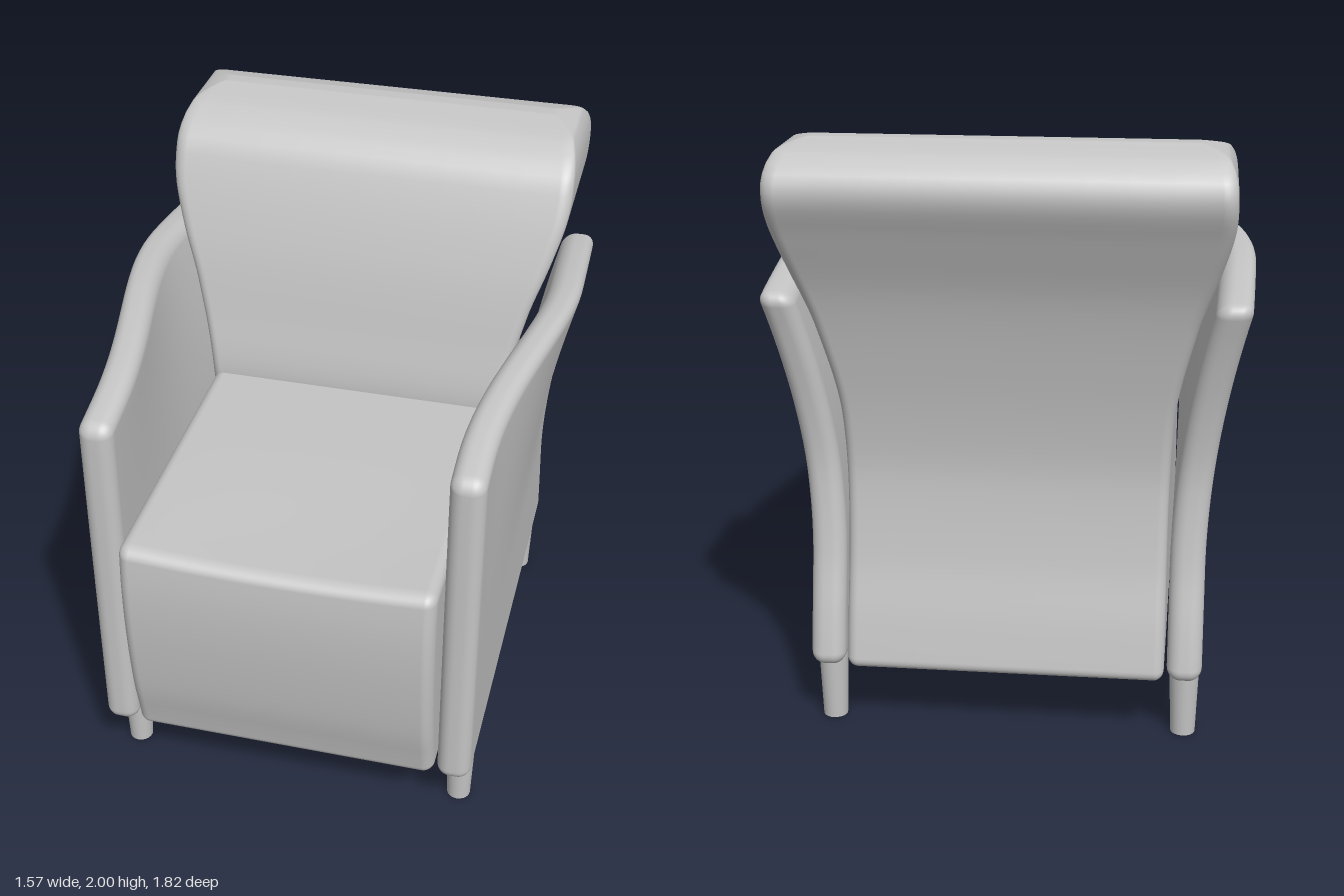
import * as THREE from 'three';
import { mergeVertices } from 'three/addons/utils/BufferGeometryUtils.js';

// Smooth curve through [t, value] knots, t ascending
function curve(knots) {
  const slope = (i) => {
    const a = knots[Math.max(i - 1, 0)], b = knots[Math.min(i + 1, knots.length - 1)];
    return (b[1] - a[1]) / (b[0] - a[0]);
  };
  return (t) => {
    const n = knots.length;
    if (t <= knots[0][0]) return knots[0][1];
    if (t >= knots[n - 1][0]) return knots[n - 1][1];
    let i = 0;
    while (knots[i + 1][0] < t) i++;
    const h = knots[i + 1][0] - knots[i][0], u = (t - knots[i][0]) / h;
    const u2 = u * u, u3 = u2 * u;
    return (2 * u3 - 3 * u2 + 1) * knots[i][1] + (u3 - 2 * u2 + u) * h * slope(i)
      + (3 * u2 - 2 * u3) * knots[i + 1][1] + (u3 - u2) * h * slope(i + 1);
  };
}

// Finely divided box with rounded edges, reshaped by warp(point)
function softBox(size, r, segs, warp) {
  const ROUND = 4;
  const geo = new THREE.BoxGeometry(2, 2, 2, ...segs.map((s) => s + 2 * ROUND));
  geo.deleteAttribute('normal');
  geo.deleteAttribute('uv');
  const pos = geo.attributes.position;
  const p = new THREE.Vector3(), c = new THREE.Vector3();
  for (let i = 0; i < pos.count; i++) {
    p.fromBufferAttribute(pos, i);
    ['x', 'y', 'z'].forEach((k, a) => {
      // the outermost divisions fall inside the rounded edge
      const n = segs[a] + 2 * ROUND, half = size[a] / 2, inner = half - r;
      const j = Math.round((p[k] + 1) / 2 * n);
      if (j < ROUND) p[k] = -half + r * (1 - Math.tan((ROUND - j) / ROUND * Math.PI / 4)) - r + (r - r);
      if (j < ROUND) p[k] = -inner - r * Math.tan((ROUND - j) / ROUND * Math.PI / 4);
      else if (j > n - ROUND) p[k] = inner + r * Math.tan((j - n + ROUND) / ROUND * Math.PI / 4);
      else p[k] = -inner + 2 * inner * (j - ROUND) / segs[a];
      c[k] = Math.min(Math.max(p[k], -inner), inner);
    });
    p.sub(c).setLength(r).add(c);
    warp(p);
    pos.setXYZ(i, p.x, p.y, p.z);
  }
  const merged = mergeVertices(geo, 1e-5);
  merged.computeVertexNormals();
  return merged;
}

const BASE = 0.225;
const lerp = THREE.MathUtils.lerp;

// Rear outline shared by the backrest and the arms: z at height y
const rearZ = curve([[0.22, -0.765], [0.4, -0.73], [0.6, -0.685], [0.85, -0.655], [1.0, -0.66],
  [1.22, -0.695], [1.5, -0.765], [1.72, -0.855], [1.82, -0.9], [1.87, -0.906], [1.92, -0.885],
  [1.97, -0.82], [2.0, -0.72]]);
const backFrontZ = curve([[0.22, -0.3], [0.9, -0.2], [1.07, -0.165], [1.3, -0.21], [1.57, -0.28],
  [1.85, -0.39], [1.92, -0.45], [1.97, -0.54], [2.0, -0.66]]);
const backHalfWidth = curve([[0.22, 0.525], [1.07, 0.535], [1.4, 0.6], [1.6, 0.665], [1.75, 0.705],
  [1.87, 0.71], [1.93, 0.7], [1.97, 0.68], [2.0, 0.63]]);
const seatFrontZ = curve([[0.22, 0.83], [0.3, 0.845], [0.45, 0.88], [0.7, 0.908], [0.9, 0.913], [1.07, 0.9]]);
const armTopY = curve([[-0.76, 1.505], [-0.6, 1.53], [-0.3, 1.565], [0, 1.58], [0.3, 1.567],
  [0.6, 1.53], [0.84, 1.48]]);

export function createModel() {
  const chair = new THREE.Group();
  chair.name = 'armchair';
  const upholstery = new THREE.MeshStandardMaterial({ color: 0xc4c4c4 });
  upholstery.name = 'light grey';
  const add = (name, geometry) => {
    const mesh = new THREE.Mesh(geometry, upholstery);
    mesh.name = name;
    chair.add(mesh);
    return mesh;
  };

  // Seat block with a bulging front and slightly hollow top
  add('seat', softBox([1.05, 0.85, 1], 0.04, [12, 16, 16], (p) => {
    const v = p.y / 0.85 + 0.5, across = p.x / 0.525;
    const y = lerp(BASE, 1.07, v);
    p.z = lerp(-0.3, seatFrontZ(y), p.z + 0.5);
    p.y = y - 0.02 * v ** 4 * (1 - across * across) * THREE.MathUtils.smoothstep(p.z, 0.2, 0.9);
  }));

  // Backrest, flaring and rolling backwards at the top
  add('backrest', softBox([1.08, 1.775, 0.5], 0.035, [10, 64, 10], (p) => {
    p.y = p.y + 0.8875 + BASE;
    p.z = lerp(rearZ(p.y), backFrontZ(p.y), p.z / 0.5 + 0.5);
    p.x *= backHalfWidth(p.y) / 0.54;
  }));

  for (const side of [1, -1]) {
    const label = side > 0 ? 'left' : 'right';

    // Arm panel, leaning outwards towards its upper rear
    add(label + 'Arm', softBox([0.115, 1.33, 1.6], 0.045, [2, 28, 28], (p) => {
      const v = p.y / 1.33 + 0.5, s = p.z / 1.6 + 0.5;
      p.z = lerp(rearZ(lerp(BASE, 1.505, v)), 0.835, s);
      p.y = lerp(BASE, armTopY(p.z), v);
      const lean = Math.max(0, (p.y - 0.6) / 0.95) ** 1.8;
      const back = 1 - THREE.MathUtils.smoothstep(p.z, -0.3, 0.7);
      p.x += side * (0.592 + 0.14 * lean * back);
    }));

    // Tapered legs
    for (const [end, z] of [['Front', 0.66], ['Back', -0.65]]) {
      const leg = add(label + end + 'Leg', new THREE.CylinderGeometry(0.05, 0.041, 0.25, 20));
      leg.position.set(side * 0.592, 0.125, z);
    }
  }
  return chair;
}
